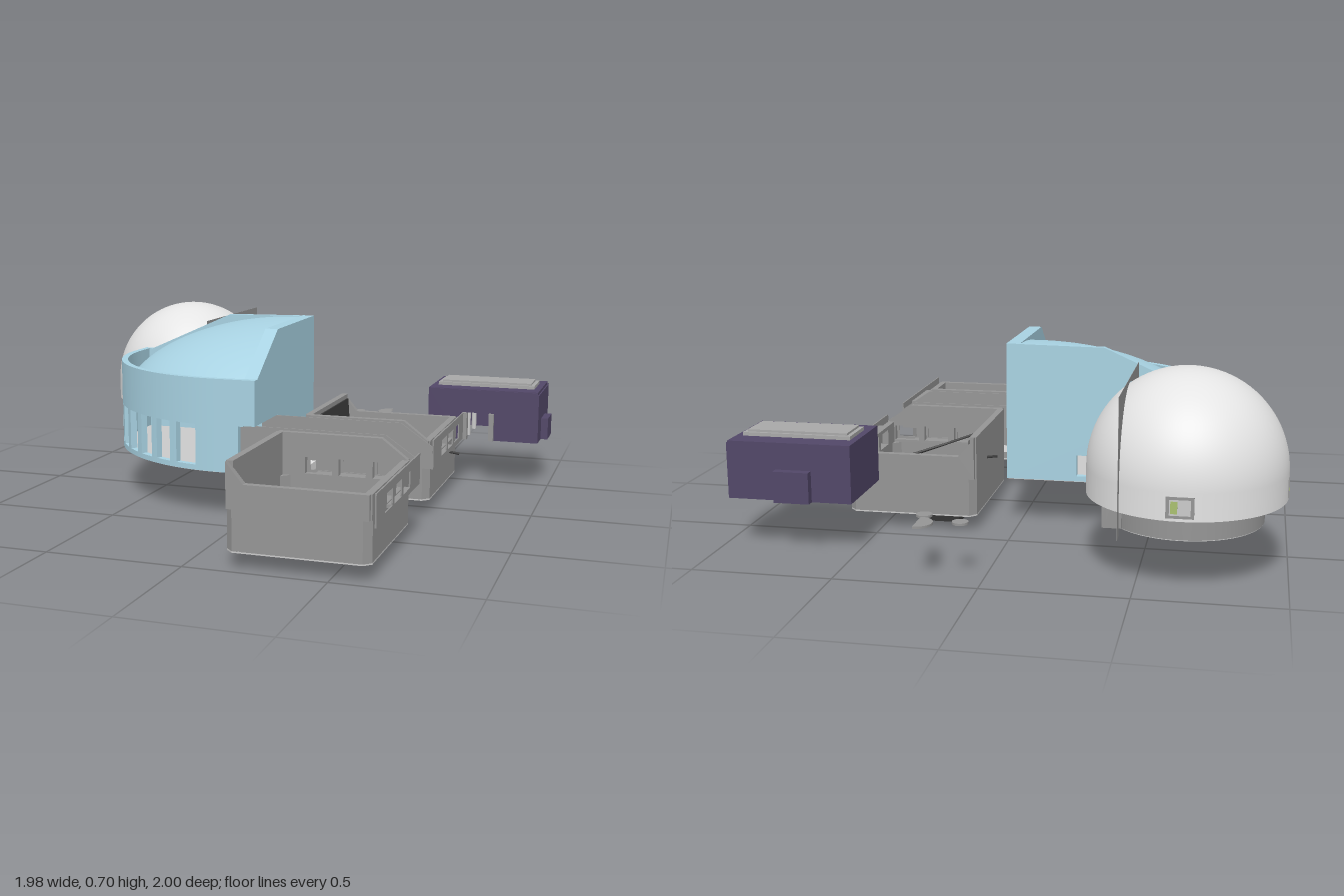
import * as THREE from 'three';

const mat = (name, color, double) => {
  const m = new THREE.MeshStandardMaterial({ color });
  m.name = name;
  if (double) m.side = THREE.DoubleSide;
  return m;
};

export function createModel() {
  const root = new THREE.Group();
  const blue = mat('paleBlue', 0xa8d2e2, true);
  const purple = mat('purple', 0x524768, true);
  const grey = mat('wallGrey', 0x959595, true);
  const floorGrey = mat('floorGrey', 0x5e5e5e);
  const white = mat('domeWhite', 0xe4e4e4, true);
  const light = mat('lightGrey', 0xcacaca);
  const panelGrey = mat('panelGrey', 0xa8a8a8);
  const dark = mat('rubbleDark', 0x3c3c3c);
  const green = mat('green', 0xa9c070);

  const add = (parent, name, geo, material, x = 0, y = 0, z = 0) => {
    const m = new THREE.Mesh(geo, material);
    m.name = name;
    m.position.set(x, y, z);
    parent.add(m);
    return m;
  };
  // box given by its limits
  const box = (parent, name, material, x0, x1, y0, y1, z0, z1) =>
    add(parent, name, new THREE.BoxGeometry(x1 - x0, y1 - y0, z1 - z0), material,
      (x0 + x1) / 2, (y0 + y1) / 2, (z0 + z1) / 2);
  const poly = pts => new THREE.Shape(pts.map(p => new THREE.Vector2(p[0], p[1])));
  const rect = (a, b, c, d) => poly([[a, c], [b, c], [b, d], [a, d]]);
  const solid = (shape, depth, holes = []) => {
    shape.holes.push(...holes);
    return new THREE.ExtrudeGeometry(shape, { depth, bevelEnabled: false, curveSegments: 32 });
  };
  // wall facing z, drawn in (x, y), z is its rear
  const wallZ = (p, name, m, shape, z, t, holes) => add(p, name, solid(shape, t, holes), m, 0, 0, z);
  // wall facing x, drawn in (z, y), x is its right face
  const wallX = (p, name, m, shape, x, t, holes) =>
    add(p, name, solid(shape, t, holes).rotateY(-Math.PI / 2), m, x, 0, 0);
  // slab drawn in (x, z), between two heights
  const slab = (p, name, m, shape, y0, y1, holes) =>
    add(p, name, solid(shape, y1 - y0, holes).rotateX(Math.PI / 2), m, 0, y1, 0);
  const group = name => {
    const g = new THREE.Group();
    g.name = name;
    root.add(g);
    return g;
  };

  // Round dome on its drum
  const dome = group('dome');
  dome.position.set(-0.65, 0, -0.66);
  add(dome, 'domeShell', new THREE.SphereGeometry(0.34, 64, 24, 0, Math.PI * 2, 0, Math.PI / 2), white, 0, 0.357, 0);
  add(dome, 'domeSkirt', new THREE.CylinderGeometry(0.34, 0.34, 0.092, 64, 1, true), white, 0, 0.311, 0);
  add(dome, 'domeUnderside', new THREE.CylinderGeometry(0.338, 0.338, 0.004, 64), grey, 0, 0.268, 0);
  add(dome, 'drum', new THREE.CylinderGeometry(0.265, 0.265, 0.09, 64), grey, 0, 0.225, 0);
  add(dome, 'drumUnderside', new THREE.CylinderGeometry(0.263, 0.263, 0.004, 64), light, 0, 0.179, 0);
  for (const a of [Math.PI, -Math.PI / 2]) {
    const w = new THREE.Group();
    w.name = 'domeWindow';
    w.rotation.y = a;
    dome.add(w);
    wallZ(w, 'windowFrame', grey, rect(-0.045, 0.045, 0.275, 0.345), 0.32, 0.021, [rect(-0.034, 0.034, 0.284, 0.336)]);
    box(w, 'windowPane', light, -0.034, 0.034, 0.284, 0.336, 0.336, 0.3405);
    box(w, 'windowStrip', green, -0.03, -0.008, 0.29, 0.33, 0.336, 0.342);
  }
  // Arched plate through which the dome pokes, and its entry
  const arch = new THREE.Shape();
  arch.moveTo(-0.34, 0.18);
  [[-0.34, 0.65], [-0.97, 0.65], [-0.97, 0.18], [-0.93, 0.18], [-0.93, 0.36]].forEach(p => arch.lineTo(...p));
  arch.absarc(-0.655, 0.36, 0.275, Math.PI, 0, true);
  arch.lineTo(-0.38, 0.18);
  wallX(root, 'archPlate', grey, arch, -0.45, 0.001);
  wallX(root, 'entryFront', grey, rect(-0.84, -0.46, 0.18, 0.357), -0.385, 0.015, [rect(-0.72, -0.56, 0.22, 0.32)]);
  for (const z of [-0.84, -0.475]) box(root, 'entrySide', grey, -0.45, -0.39, 0.18, 0.357, z, z + 0.015);

  // Quarter-round hall: arc about (cx, cz), corner at (0, back)
  const hall = group('hall');
  const R = 0.62, cx = -0.1, cz = -0.2, back = -0.3, H = Math.PI / 2;
  const sector = (a0, a1) => {
    const s = new THREE.Shape();
    s.absarc(cx, cz, R, Math.PI - a0, Math.PI - a1, true);
    s.absarc(cx, cz, R - 0.025, Math.PI - a1, Math.PI - a0, false);
    s.closePath();
    return s;
  };
  const arcWall = (name, y0, y1, a0, a1) => slab(hall, name, blue, sector(a0, a1), y0, y1);
  const w0 = 0.4, w1 = 1.42, n = 6, step = (w1 - w0) / n;
  arcWall('curvedWallBase', 0.18, 0.2, 0, H);
  arcWall('curvedWallTop', 0.355, 0.53, 0, H);
  arcWall('curvedWallEnd', 0.2, 0.355, 0, w0);
  arcWall('curvedWallEnd', 0.2, 0.355, w1, H);
  for (let i = 1; i < n; i++) arcWall('windowPillar', 0.2, 0.355, w0 + i * step - 0.026, w0 + i * step + 0.026);
  box(hall, 'straightWall', blue, -0.72, -0.695, 0.18, 0.53, back, cz);
  box(hall, 'straightWallTop', blue, cx, 0, 0.357, 0.53, 0.395, 0.42);
  box(hall, 'straightWallBase', blue, cx, -0.02, 0.18, 0.357, 0.395, 0.42);
  // roof: each ray from the corner is stretched to reach the curved wall
  const roof = new THREE.SphereGeometry(1, 40, 24, 0, H, 0, H * 0.95);
  const p = roof.attributes.position;
  for (let i = 0; i < p.count; i++) {
    const x = p.getX(i), z = p.getZ(i), d = Math.hypot(x, z) || 1;
    const along = (x * cx + z * (cz - back)) / d;
    const reach = along + Math.sqrt(along ** 2 - 0.02 + (R - 0.01) ** 2);
    p.setXYZ(i, x * reach, p.getY(i) * 0.33, z * reach);
  }
  roof.computeVertexNormals();
  add(hall, 'curvedRoof', roof, blue, 0, 0.362, back);
  wallZ(hall, 'backWall', blue, poly([[0.045, 0.18], [0.045, 0.695], [-0.32, 0.69], [-0.68, 0.53], [-0.72, 0.53], [-0.72, 0.18]]),
    back, 0.025, [rect(-0.33, -0.22, 0.2, 0.28)]);
  wallX(hall, 'sideWall', blue, poly([[back, 0.18], [0.16, 0.18], [0.16, 0.36], [0.42, 0.36],
    [0.42, 0.53], [0.39, 0.53], [0.16, 0.69], [back, 0.695]]), 0.045, 0.05);
  const ground = new THREE.Shape();
  ground.moveTo(0.04, back);
  ground.lineTo(0.04, 0.415);
  ground.absarc(cx, cz, R - 0.005, H, Math.PI, false);
  ground.lineTo(cx - R + 0.005, back);
  slab(hall, 'hallFloor', light, ground, 0.178, 0.19);

  // Bridge between the rooms
  box(root, 'bridgeFloor', white, 0.03, 0.2, 0.16, 0.19, 0.16, 0.39);
  box(root, 'bridgeStep', light, 0.07, 0.13, 0.19, 0.205, 0.36, 0.39);

  // Two open rooms, mirrored across the bridge
  const windows = (a, count = 3, w = 0.1, gap = 0.025) =>
    Array.from({ length: count }, (_, i) => rect(a + i * (w + gap), a + i * (w + gap) + w, 0.21, 0.27));
  const octagon = (x0, x1, z0, z1, c) => poly([[x0 + c, z0], [x1 - c, z0], [x1, z0 + c], [x1, z1 - c],
    [x1 - c, z1], [x0 + c, z1], [x0, z1 - c], [x0, z0 + c]]);
  for (const side of [1, -1]) {
    const g = group(side > 0 ? 'frontRoom' : 'brokenRoom');
    g.position.z = 0.275;
    g.scale.z = side;
    const room = new THREE.Group();
    room.name = 'roomShell';
    room.position.z = -0.275;
    g.add(room);
    slab(room, 'lowerWalls', grey, octagon(0.14, 0.63, 0.43, 0.97, 0.025), 0.06, 0.2,
      [octagon(0.165, 0.605, 0.455, 0.945, 0.03)]);
    slab(room, 'roomFloor', floorGrey, octagon(0.155, 0.615, 0.445, 0.955, 0.03), 0.062, 0.075);
    slab(room, 'undersideRim', light, octagon(0.14, 0.63, 0.43, 0.97, 0.025), 0.055, 0.061,
      [octagon(0.19, 0.58, 0.48, 0.92, 0.02)]);
    box(room, 'tallWall', grey, 0.14, 0.165, 0.2, 0.357, 0.45, 0.95);
    wallZ(room, 'outerWall', grey, poly([[0.145, 0.2], [0.625, 0.2], [0.625, 0.285], [0.205, 0.285], [0.145, 0.357]]), 0.945, 0.025);
    wallZ(room, 'innerWall', grey, poly([[0.145, 0.2], [0.625, 0.2], [0.625, 0.285], [0.53, 0.357], [0.145, 0.357]]),
      0.43, 0.025, windows(0.25));
    wallX(room, 'lowWall', grey, rect(0.445, 0.955, 0.2, 0.285), 0.63, 0.025, windows(0.54));
    // thin outer facades and the sills joining them to the room
    wallZ(room, 'bridgeFacade', grey, poly([[-0.02, 0.19], [0.65, 0.19], [0.65, 0.275], [0.53, 0.357], [-0.02, 0.357]]),
      0.389, 0.005, windows(0.25));
    wallX(room, 'sideFacade', grey, rect(0.39, 1, 0.19, 0.3), 0.655, 0.005, windows(0.54));
    for (const y of [0.195, 0.27]) {
      box(room, 'windowSill', grey, 0.28, 0.53, y, y + 0.012, 0.392, 0.435);
      box(room, 'windowSill', grey, 0.628, 0.652, y, y + 0.012, 0.52, 0.77);
    }
  }

  // Rubble, rods and ring mark in the broken room
  const debris = group('debris');
  wallX(debris, 'hangingRubble', dark, poly([[0.1, 0.07], [-0.42, 0.07], [-0.41, 0.03], [-0.3, 0.022], [0.09, 0.03]]), 0.335, 0.13);
  wallX(debris, 'hangingTip', dark, poly([[0.08, 0.03], [-0.4, 0.03], [-0.31, 0], [-0.2, 0.015], [0.06, 0.022]]), 0.31, 0.07);
  wallZ(debris, 'rubbleBank', dark, poly([[0.166, 0.07], [0.29, 0.07], [0.26, 0.1], [0.185, 0.16], [0.172, 0.34], [0.166, 0.34]]),
    -0.385, 0.47);
  const slabs = [[0.23, 0.13, -0.3, 0.1, 0.2, 0.15], [0.27, 0.11, -0.1, 0.06, 0.14, 0.25],
    [0.27, 0.12, -0.35, 0.06, 0.08, -0.2], [0.26, 0.13, 0.02, 0.08, 0.12, 0.1]];
  slabs.forEach(([x, y, z, w, d, r], i) => {
    const m = add(debris, 'rubbleSlab', new THREE.BoxGeometry(w, 0.04, d), i ? grey : dark, x, y, z);
    m.rotation.set(r * 0.3, r, -0.35);
  });
  const rod = (a, b) => add(debris, 'rod', new THREE.TubeGeometry(
    new THREE.LineCurve3(new THREE.Vector3(...a), new THREE.Vector3(...b)), 1, 0.005, 6), dark);
  rod([0.2, 0.27, 0.1], [0.45, 0.2, -0.06]);
  rod([0.33, 0.25, -0.09], [0.67, 0.16, -0.27]);
  rod([0.1, 0.24, -0.21], [0.42, 0.2, -0.24]);
  const ring = new THREE.Shape();
  ring.absarc(0.46, 0.01, 0.055, 0.9, 5.8, false);
  ring.absarc(0.46, 0.01, 0.034, 5.8, 0.9, true);
  slab(debris, 'ringMark', green, ring, 0.075, 0.081);
  for (const y of [0.079, 0.06])
    add(debris, 'ringDot', new THREE.CylinderGeometry(0.026, 0.026, 0.008, 24), green, 0.46, y, 0.01);
  slab(debris, 'ringUnderside', green, ring, 0.056, 0.062);

  // Purple hut, hollow and open below
  const hut = group('hut');
  wallZ(hut, 'hutFront', purple, poly([[0.505, 0.187], [0.64, 0.187], [0.64, 0.3], [0.78, 0.3], [0.78, 0.187], [0.96, 0.187],
    [0.96, 0.385], [0.945, 0.395], [0.505, 0.395]]), -0.455, 0.015);
  box(hut, 'hutBack', purple, 0.505, 0.96, 0.187, 0.39, -0.76, -0.745);
  box(hut, 'hutSide', purple, 0.505, 0.52, 0.187, 0.39, -0.75, -0.45);
  box(hut, 'hutSide', purple, 0.945, 0.96, 0.187, 0.385, -0.75, -0.45);
  box(hut, 'hutRoof', purple, 0.505, 0.955, 0.375, 0.397, -0.76, -0.445);
  box(hut, 'rearBump', purple, 0.65, 0.78, 0.187, 0.3, -0.79, -0.755);
  box(hut, 'sideBump', purple, 0.955, 0.988, 0.187, 0.275, -0.66, -0.54);
  box(hut, 'roofPanel', panelGrey, 0.53, 0.93, 0.395, 0.41, -0.68, -0.52);
  box(hut, 'roofPanelTop', panelGrey, 0.545, 0.915, 0.41, 0.418, -0.668, -0.532);
  for (const x of [0.66, 0.77, 0.86])
    for (const z of [-0.52, -0.66])
      add(hut, 'pole', new THREE.CylinderGeometry(0.01, 0.01, 0.19, 12), light, x, 0.285, z);
  for (const x of [0.66, 0.77]) box(hut, 'doorPost', grey, x - 0.01, x + 0.01, 0.187, 0.3, -0.455, -0.425);

  // Stepping stones behind
  const stone = (r, x, z, a = 0, l = Math.PI * 2) =>
    add(root, 'steppingStone', new THREE.CylinderGeometry(r, r, 0.008, 24, 1, false, a, l), grey, x, 0.19, z);
  stone(0.028, 0.08, -0.9);
  stone(0.028, 0.22, -0.84);
  stone(0.055, 0.222, -0.93, Math.PI, Math.PI);
  return root;
}
